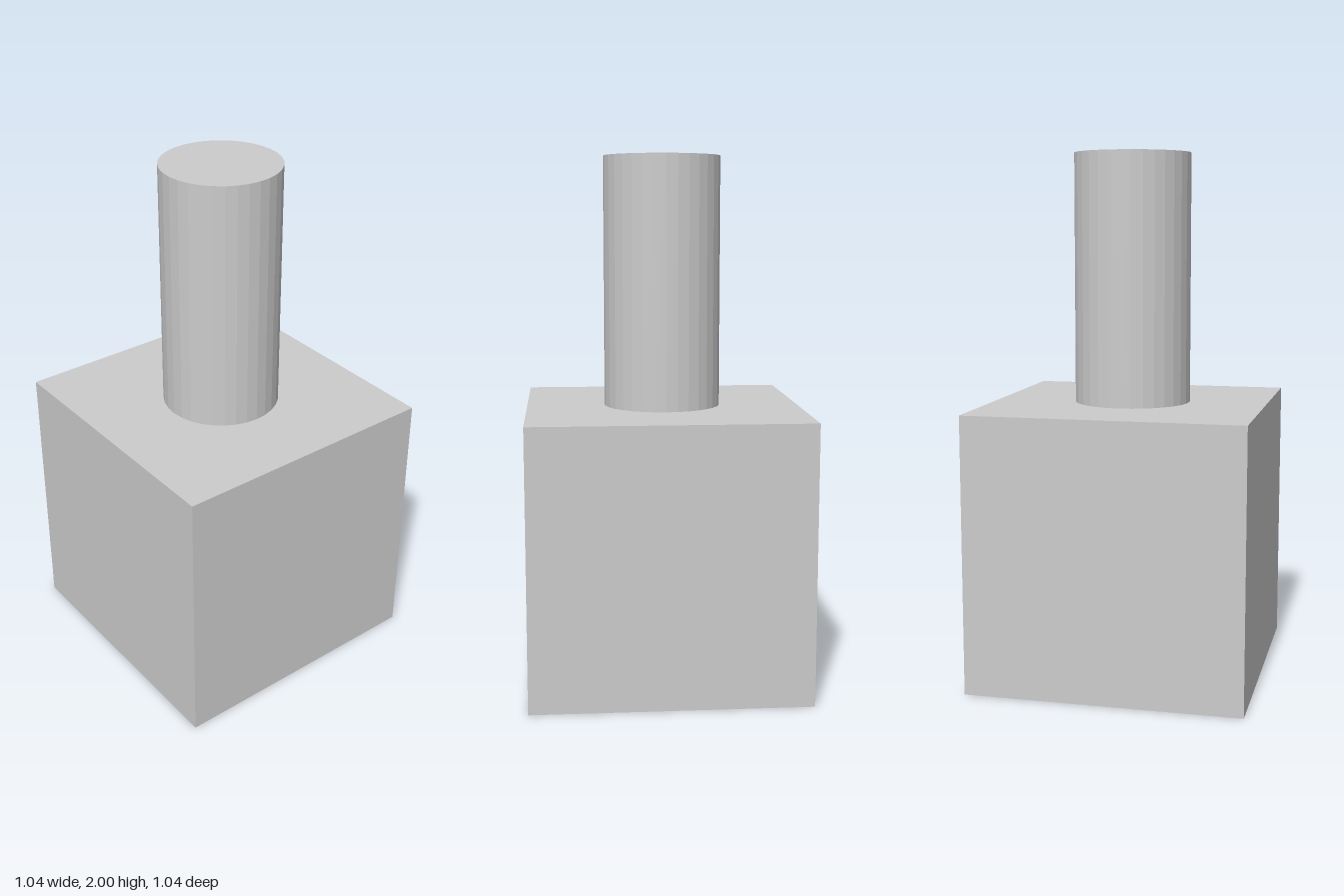
import * as THREE from 'three';

export function createModel() {
  const group = new THREE.Group();
  const material = new THREE.MeshStandardMaterial({ color: 0xcccccc, flatShading: true });

  const side = 1.045, baseHeight = 1.05, totalHeight = 2, radius = 0.223;

  // Cubic block standing on the ground
  const base = new THREE.Mesh(new THREE.BoxGeometry(side, baseHeight, side), material);
  base.name = 'baseBlock';
  base.position.y = baseHeight / 2;

  // Faceted round post centred on top of the block
  const postHeight = totalHeight - baseHeight;
  const post = new THREE.Mesh(new THREE.CylinderGeometry(radius, radius, postHeight, 32), material);
  post.name = 'post';
  post.position.y = baseHeight + postHeight / 2;

  group.add(base, post);
  return group;
}
